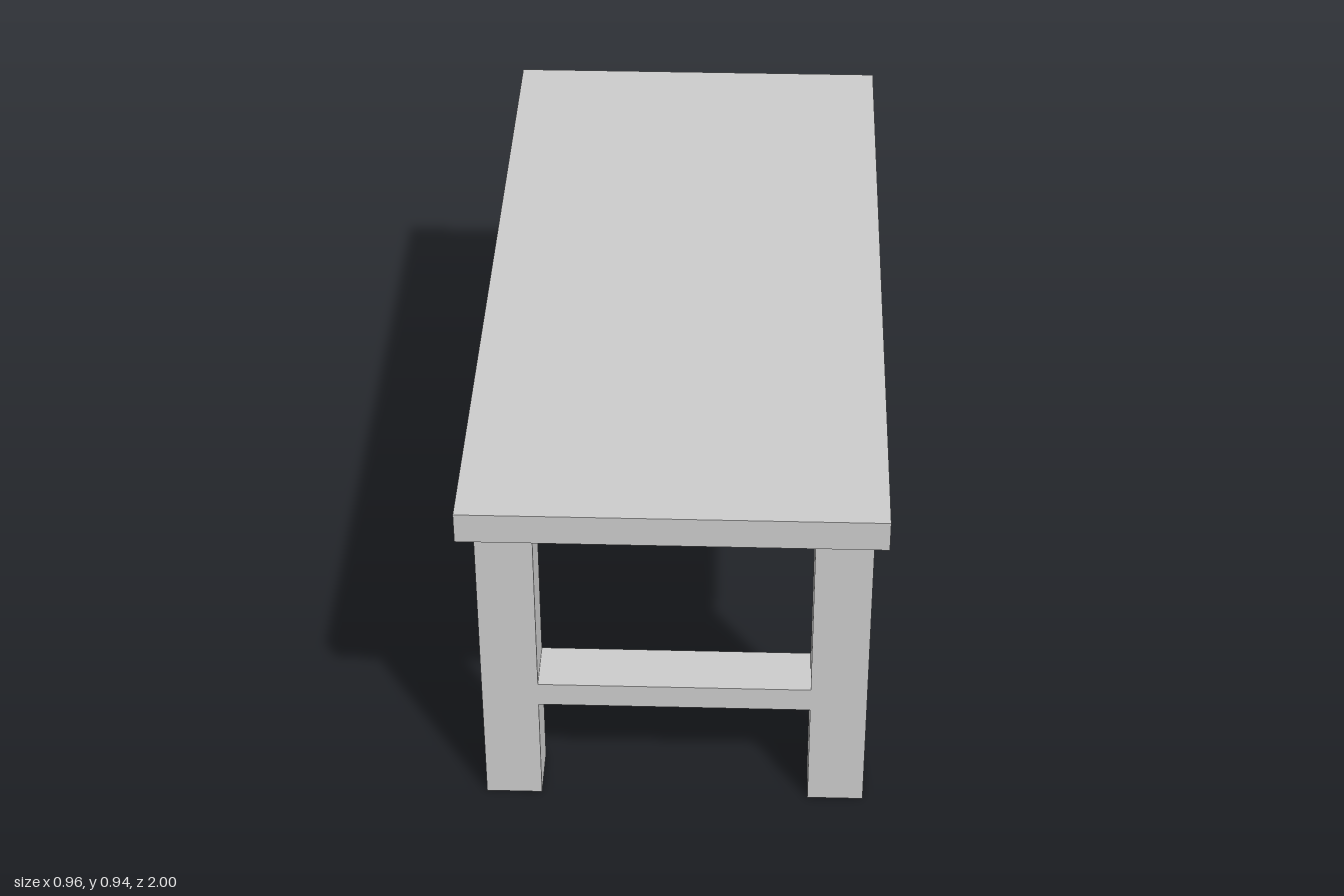
import * as THREE from 'three';

export function createModel() {
  const model = new THREE.Group();
  model.name = 'table';
  const material = new THREE.MeshStandardMaterial({ color: 0xcccccc, flatShading: true });

  // Box placed by its centre in x and z and its underside in y
  const addBox = (name, [w, h, d], [x, bottom, z]) => {
    const mesh = new THREE.Mesh(new THREE.BoxGeometry(w, h, d), material);
    mesh.name = name;
    mesh.position.set(x, bottom + h / 2, z);
    model.add(mesh);
  };

  const legHeight = 0.862, legSize = 0.133, legX = 0.387, legZ = 0.813;

  addBox('tabletop', [0.962, 0.075, 2], [0, legHeight, 0]);

  // Each end: two legs joined by a crossbar as deep as the legs
  for (const [end, sz] of [['front', 1], ['back', -1]]) {
    for (const [side, sx] of [['Left', 1], ['Right', -1]]) {
      addBox(`${end}${side}Leg`, [legSize, legHeight, legSize], [sx * legX, 0, sz * legZ]);
    }
    addBox(`${end}Crossbar`, [2 * legX - legSize, 0.062, legSize], [0, 0.281, sz * legZ]);
  }

  return model;
}
